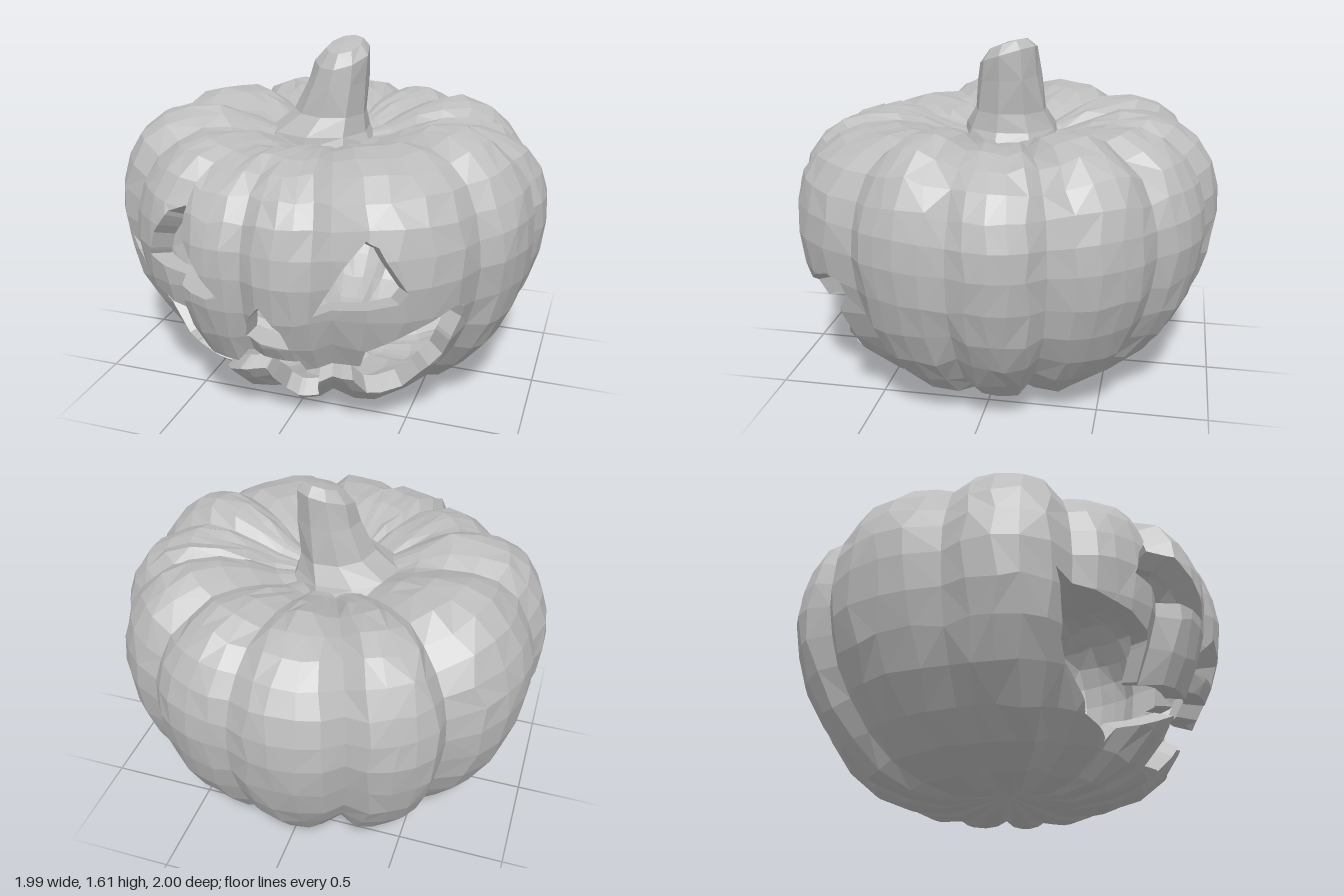
import * as THREE from 'three';

const lerp = THREE.MathUtils.lerp;
const V = (x, y, z) => new THREE.Vector3(x, y, z);
const CENTRE = V(0, 0.6, 0);
const WALL = 0.895; // inner skin size relative to the outer skin

// Grooves: direction in degrees from the front (+z) towards +x, and radius
const GROOVES = [
  [-6, 0.945], [17, 0.935], [57, 0.955], [85, 0.95], [110, 0.925], [142, 0.935], [170, 0.945],
  [201, 0.93], [229, 0.92], [272, 0.965], [304, 0.94], [332, 0.9], [354, 0.945],
];
// Lobes between the grooves: ridge radius and how far the top sags
const LOBES = [
  [1, 0.06], [1.02, 0.07], [1.01, 0], [1.005, 0.075], [0.99, 0.01], [0.985, 0.02],
  [1, 0.03], [1.015, 0.03], [1, 0], [1.025, 0.01], [0.97, 0.055], [1, 0.08],
];
// Body profile from the underside up to the stem: radius, height
const PROFILE = [
  [0, 0.07], [0.14, 0.04], [0.3, 0.01], [0.47, 0.035], [0.63, 0.11], [0.755, 0.22], [0.86, 0.36],
  [0.935, 0.51], [0.98, 0.66], [1, 0.82], [0.99, 0.95], [0.955, 1.07], [0.89, 1.18], [0.79, 1.265],
  [0.67, 1.31], [0.53, 1.305], [0.4, 1.26], [0.27, 1.195], [0.14, 1.16], [0, 1.16],
];

// Carved holes, each between an upper and a lower line running left to right
const HOLES = {
  rightEye: {
    top: [[-0.61, 0.77], [-0.58, 0.88], [-0.5, 0.99], [-0.42, 1.02], [-0.39, 0.95], [-0.31, 0.85], [-0.2, 0.715]],
    bottom: [[-0.61, 0.77], [-0.42, 0.72], [-0.25, 0.7], [-0.2, 0.715]],
  },
  leftEye: {
    top: [[0.21, 0.69], [0.32, 0.89], [0.41, 1.015], [0.46, 0.99], [0.575, 0.8]],
    bottom: [[0.21, 0.69], [0.54, 0.75], [0.575, 0.8]],
  },
  nose: {
    top: [[-0.105, 0.52], [-0.09, 0.61], [-0.01, 0.71], [0.08, 0.61], [0.105, 0.52]],
    bottom: [[-0.105, 0.52], [0.105, 0.52]],
  },
  mouth: {
    top: [[-0.85, 0.72], [-0.64, 0.62], [-0.45, 0.54], [-0.39, 0.385], [-0.16, 0.375], [-0.115, 0.44],
      [0.135, 0.45], [0.15, 0.39], [0.37, 0.42], [0.4, 0.51], [0.57, 0.6], [0.73, 0.69], [0.755, 0.67]],
    bottom: [[-0.85, 0.72], [-0.74, 0.46], [-0.53, 0.22], [-0.33, 0.165], [-0.3, 0.23], [-0.18, 0.3],
      [-0.07, 0.3], [-0.03, 0.14], [0.13, 0.14], [0.17, 0.28], [0.32, 0.31], [0.36, 0.21],
      [0.5, 0.23], [0.67, 0.42], [0.74, 0.6], [0.755, 0.67]],
  },
};

const noise = (i, j) => {
  const s = Math.sin(i * 12.9898 + j * 78.233) * 43758.5453;
  return (s - Math.floor(s)) * 2 - 1;
};

// Height of a left-to-right line at x
function heightAt(line, x) {
  let k = 1;
  while (k < line.length - 1 && line[k][0] < x) k++;
  const [a, b] = [line[k - 1], line[k]];
  return lerp(a[1], b[1], (x - a[0]) / (b[0] - a[0]));
}

// Cut a hole into convex upright strips, corners counter-clockwise
function strips({ top, bottom }) {
  const xs = [...new Set([...top, ...bottom].map((p) => p[0]))].sort((a, b) => a - b);
  return xs.slice(1).map((x1, k) => {
    const x0 = xs[k];
    return [V(x0, heightAt(bottom, x0), 0), V(x1, heightAt(bottom, x1), 0),
      V(x1, heightAt(top, x1), 0), V(x0, heightAt(top, x0), 0)];
  });
}

// Signed distance of p from line a-b in the front plane, positive on the left
const side = (p, a, b) =>
  ((b.x - a.x) * (p.y - a.y) - (b.y - a.y) * (p.x - a.x)) / Math.hypot(b.x - a.x, b.y - a.y);

// Split a polygon by a line into its left and right pieces
function split(poly, a, b) {
  const left = [], right = [];
  poly.forEach((p, k) => {
    const q = poly[(k + 1) % poly.length];
    const dp = side(p, a, b), dq = side(q, a, b);
    if (dp >= -1e-7) left.push(p);
    if (dp <= 1e-7) right.push(p);
    if ((dp > 1e-7 && dq < -1e-7) || (dp < -1e-7 && dq > 1e-7)) {
      const m = p.clone().lerp(q, dp / (dp - dq));
      left.push(m);
      right.push(m);
    }
  });
  return [left, right];
}

// Remove a strip from a polygon; record the rim edges of what is removed
function carve(poly, strip, rim) {
  const kept = [];
  let rest = poly;
  for (let k = 0; k < 4; k++) {
    const a = strip[k], b = strip[(k + 1) % 4];
    if (a.distanceTo(b) < 1e-6) continue;
    const [inside, outside] = split(rest, a, b);
    if (inside.length < 3) return [poly];
    if (outside.length > 2) kept.push(outside);
    rest = inside;
  }
  rest.forEach((p, k) => {
    const q = rest[(k + 1) % rest.length];
    for (const e of [0, 2]) {
      const a = strip[e], b = strip[e + 1];
      if (p.distanceTo(q) > 1e-6 && Math.abs(side(p, a, b)) < 1e-5 && Math.abs(side(q, a, b)) < 1e-5) rim.push([p, q]);
    }
  });
  return kept;
}

// Flat-sided geometry from convex polygons
function fromPolygons(polys) {
  const pts = [];
  for (const p of polys) for (let k = 1; k < p.length - 1; k++) pts.push(p[0], p[k], p[k + 1]);
  const geo = new THREE.BufferGeometry().setFromPoints(pts);
  geo.computeVertexNormals();
  return geo;
}

// Triangles between stacked closed rings, with alternating diagonals
function loft(rings) {
  const tris = [];
  for (let i = 0; i < rings.length - 1; i++) {
    const n = rings[i].length;
    for (let j = 0; j < n; j++) {
      const k = (j + 1) % n;
      const [a, b, c, d] = [rings[i][j], rings[i][k], rings[i + 1][k], rings[i + 1][j]];
      const pair = noise(i + 3, j + 7) > 0 ? [[a, b, c], [a, c, d]] : [[a, b, d], [b, c, d]];
      for (const t of pair) {
        if (t[0].distanceTo(t[1]) > 1e-6 && t[1].distanceTo(t[2]) > 1e-6 && t[2].distanceTo(t[0]) > 1e-6) tris.push(t);
      }
    }
  }
  return tris;
}

// Lobed rings of the outer skin
function bodyRings(perLobe = 5) {
  return PROFILE.map(([r, y], i) => {
    const ring = [];
    const fade = Math.min(1, r / 0.5);
    LOBES.forEach(([ridge, sag], lobe) => {
      const [a0, r0] = GROOVES[lobe], [a1, r1] = GROOVES[lobe + 1];
      for (let k = 0; k < perLobe; k++) {
        const j = lobe * perLobe + k;
        const s = (k + (k ? noise(i, j) * 0.18 : 0)) / perLobe;
        const edge = Math.abs(2 * s - 1); // 0 on the ridge, 1 in the groove
        const a = THREE.MathUtils.degToRad(lerp(a0, a1, s));
        const f = lerp(1, lerp(ridge, lerp(r0, r1, s), edge ** 2.7), fade) + noise(j, i + 5) * 0.005 * r;
        const drop = (y / 1.3) ** 4 * lerp(sag, 0.035, edge) * fade;
        const wobble = r > 0.35 && r < 0.99 && y > 0.1 ? noise(j + 11, i) * 0.012 : 0;
        const h = y > 0.1 ? CENTRE.y + (y - drop - CENTRE.y) * f + wobble : y + edge ** 2.7 * 0.035 * fade;
        ring.push(V(r * f * Math.sin(a), h, r * f * Math.cos(a)));
      }
    });
    return ring;
  });
}

// Stem sections: centre x, radius x, radius z, height, tilt
const STEM = [
  [-0.09, 0.29, 0.25, 1.14, 0], [-0.075, 0.24, 0.215, 1.195, 0], [-0.025, 0.17, 0.175, 1.28, 0],
  [0.01, 0.14, 0.15, 1.43, 0.3], [0.027, 0.125, 0.138, 1.54, 1], [0.035, 0.085, 0.09, 1.59, 1], [0.035, 0, 0, 1.6, 1],
];

function stemRings(sides = 9) {
  return STEM.map(([cx, rx, rz, y, tilt], i) => Array.from({ length: sides }, (_, j) => {
    const a = (j / sides) * Math.PI * 2;
    const f = 1 + noise(i, j) * 0.05;
    const dx = rx * f * Math.sin(a), dz = rz * f * Math.cos(a);
    return V(cx + dx, y + tilt * (0.15 * dx - 0.32 * dz), dz - 0.01);
  }));
}

export function createModel() {
  const group = new THREE.Group();
  const grey = new THREE.MeshStandardMaterial({ color: 0xbcbcbc });
  grey.name = 'plain grey';
  const add = (name, polys) => {
    const mesh = new THREE.Mesh(fromPolygons(polys), grey);
    mesh.name = name;
    group.add(mesh);
  };
  const inset = (p) => p.clone().sub(CENTRE).multiplyScalar(WALL).add(CENTRE);

  // Carve the face through the front of the skin
  let skin = loft(bodyRings());
  for (const [name, hole] of Object.entries(HOLES)) {
    const rim = [];
    for (const strip of strips(hole)) {
      skin = skin.flatMap((p) => (p.every((v) => v.z > 0.1) ? carve(p, strip, rim) : [p]));
    }
    add(name + 'Rim', rim.map(([p, q]) => [p, q, inset(q), inset(p)]));
  }
  add('outerSkin', skin);
  add('innerSkin', skin.map((p) => p.map(inset).reverse()));
  add('stem', loft(stemRings()));
  return group;
}
